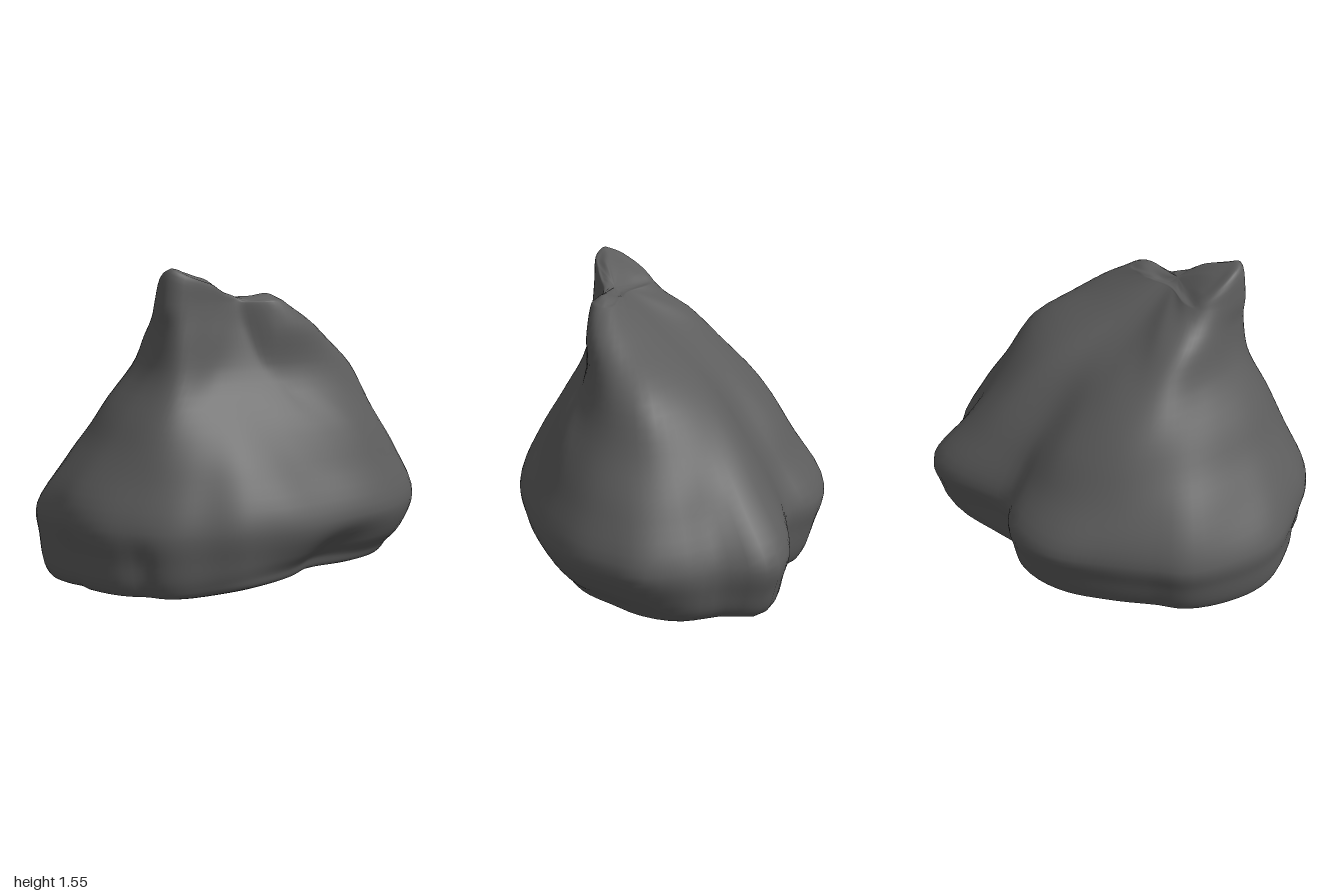
import * as THREE from 'three';
import { mergeVertices } from 'three/addons/utils/BufferGeometryUtils.js';

// Axis that runs inside every horizontal section, as (x, z)
const AXIS = { x: 0.19, z: 0.28 };
const COLS = 112, STEPS = 5;

// Outlines as (x, z) pairs, from the front round by +x
const WIDEST = [-0.15, 0.99, 0.04, 0.99, 0.2, 0.94, 0.36, 0.86, 0.48, 0.74, 0.6, 0.62, 0.68, 0.45, 0.74, 0.25,
  0.82, -0.1, 0.8, -0.38, 0.75, -0.57, 0.63, -0.74, 0.54, -0.84, 0.33, -0.91, 0.15, -0.9, -0.04, -0.99,
  -0.13, -0.95, -0.22, -0.86, -0.3, -0.72, -0.42, -0.53, -0.55, -0.5, -0.67, -0.4, -0.77, -0.23,
  -0.81, 0, -0.82, 0.27, -0.83, 0.42, -0.72, 0.65, -0.54, 0.85, -0.3, 0.95];
const MIDDLE = [0, 0.79, 0.22, 0.75, 0.4, 0.52, 0.52, 0.25, 0.6, 0, 0.64, -0.2, 0.58, -0.45, 0.39, -0.62,
  0.15, -0.65, -0.1, -0.58, -0.26, -0.34, -0.48, -0.2, -0.61, 0.1, -0.56, 0.38, -0.36, 0.61, -0.18, 0.74];
const UPPER = [0.05, 0.65, 0.2, 0.62, 0.28, 0.42, 0.36, 0.22, 0.46, 0.02, 0.51, -0.2, 0.47, -0.38, 0.36, -0.48,
  0.2, -0.46, 0, -0.35, -0.12, -0.18, -0.35, 0.03, -0.41, 0.25, -0.29, 0.44, -0.12, 0.58];
const SHOULDER = [0.08, 0.61, 0.19, 0.59, 0.25, 0.42, 0.29, 0.25, 0.39, 0.15, 0.45, 0.02, 0.45, -0.12,
  0.38, -0.18, 0.25, -0.14, 0.12, -0.05, 0, 0.11, -0.19, 0.22, -0.23, 0.33, -0.14, 0.47, 0, 0.57];
const BROW = [0.1, 0.62, 0.18, 0.59, 0.235, 0.42, 0.26, 0.27, 0.33, 0.19, 0.38, 0.13, 0.385, 0.05,
  0.33, 0.02, 0.22, 0.1, 0.13, 0.24, -0.03, 0.33, -0.08, 0.42, -0.03, 0.53];

// Smooth closed outline
function outline(pairs) {
  const pts = [];
  for (let i = 0; i < pairs.length; i += 2) pts.push(new THREE.Vector3(pairs[i], 0, pairs[i + 1]));
  return new THREE.CatmullRomCurve3(pts, true).getPoints(120);
}

// Distance from the axis to an outline in the direction (dx, dz)
function reach(line, dx, dz) {
  let best = 0;
  for (let i = 0; i + 1 < line.length; i++) {
    const ax = line[i].x - AXIS.x, az = line[i].z - AXIS.z;
    const ex = line[i + 1].x - line[i].x, ez = line[i + 1].z - line[i].z;
    const det = dx * ez - dz * ex;
    if (Math.abs(det) < 1e-9) continue;
    const t = (ax * ez - az * ex) / det, s = (ax * dz - az * dx) / det;
    if (s >= -1e-6 && s <= 1 + 1e-6) best = Math.max(best, t);
  }
  return best;
}

// Linear interpolation through [position, value] stops
function stops(list, v) {
  if (v <= list[0][0]) return list[0][1];
  for (let i = 1; i < list.length; i++) {
    const [a, fa] = list[i - 1], [b, fb] = list[i];
    if (v <= b) return fa + (fb - fa) * (v - a) / (b - a);
  }
  return list[list.length - 1][1];
}

const bump = (v, centre, width) => Math.exp(-(((v - centre) / width) ** 2));

// Height of the crest: two peaks with a saddle, falling away on both sides
function crest(x, z) {
  const top = stops([[0.02, 1.38], [0.08, 1.42], [0.15, 1.425], [0.23, 1.4], [0.33, 1.44], [0.4, 1.49], [0.48, 1.52], [0.56, 1.545]], z);
  const ridge = stops([[0.02, 0.35], [0.12, 0.32], [0.25, 0.24], [0.55, 0.13]], z);
  const d = x - ridge;
  return Math.max(1.385, top - (d < 0 ? -0.35 * d : 0.6 * d));
}

// Wavy underside
const underside = (x, z) => 0.055 - 0.05 * bump(x, -0.55, 0.3) + 0.04 * bump(x, 0.62, 0.17)
  - 0.03 * bump(z, -0.4, 0.2) * bump(x, 0.1, 0.5) + 0.01 * bump(z, 0, 0.25);

function rockGeometry() {
  const outlines = [WIDEST, MIDDLE, UPPER, SHOULDER, BROW].map(outline);
  const position = [], index = [];
  let rows = 0;
  for (let c = 0; c < COLS; c++) {
    const a = (c / COLS) * Math.PI * 2, dx = Math.sin(a), dz = Math.cos(a);
    const [rw, rm, ru, rs, rb] = outlines.map(l => reach(l, dx, dz));
    const at = (r, y) => {
      const x = AXIS.x + dx * r, z = AXIS.z + dz * r;
      return new THREE.Vector3(x, typeof y === 'function' ? y(x, z) : y, z);
    };
    // Hollows cut into the foot
    const wx = AXIS.x + dx * rw, wz = AXIS.z + dz * rw;
    const hollow = (wx > 0.3 ? 0.08 * bump(wz, 0, 0.2) : 0)
      + (wz > 0.6 ? 0.02 * bump(wx, -0.2, 0.06) + 0.02 * bump(wx, 0.23, 0.06) : 0);
    // The foot draws in on both sides, most of all towards the back at +x
    const taper = dx > 0 ? dx * (0.14 - 0.12 * dz) : -0.05 * dx * (1 - Math.max(0, dz));
    const foot = rw * (1 - taper) - hollow;
    const profile = [
      at(0, 0.05), at(rw * 0.5, underside), at(foot * 0.92, underside),
      at(foot * 0.97, (x, z) => underside(x, z) + 0.05),
      at(rw * (0.99 - taper * 0.45) - hollow, 0.22), at(rw, 0.37),
      at(rw * 0.46 + rm * 0.54 + 0.015, 0.6), at(rm, 0.8), at(ru, 1.05), at(rs, 1.25),
      at(rb, 1.38), at(rb * 0.9, crest), at(rb * 0.7, crest), at(rb * 0.4, crest), at(0, crest)];
    const pts = new THREE.CatmullRomCurve3(profile).getPoints((profile.length - 1) * STEPS);
    rows = pts.length;
    pts.forEach((p, i) => {
      // Gentle weathering that fades out at both poles
      const w = 0.005 * Math.sin(Math.PI * i / (rows - 1))
        * (Math.sin(9 * p.x + 5 * p.y) + Math.sin(11 * p.z - 7 * p.y + 1) + Math.sin(13 * p.y + 6 * p.x - 4 * p.z));
      position.push(p.x + dx * w, Math.max(0, p.y), p.z + dz * w);
    });
  }
  // Two triangles per cell, one beside each pole
  for (let c = 0; c < COLS; c++) {
    const n = (c + 1) % COLS;
    for (let r = 0; r + 1 < rows; r++) {
      const p = c * rows + r, q = n * rows + r;
      if (r > 0) index.push(p, q, q + 1);
      if (r < rows - 2) index.push(p, q + 1, p + 1);
    }
  }
  const g = new THREE.BufferGeometry();
  g.setAttribute('position', new THREE.Float32BufferAttribute(position, 3));
  g.setIndex(index);
  const welded = mergeVertices(g, 1e-4);
  welded.computeVertexNormals();
  return welded;
}

export function createModel() {
  const group = new THREE.Group();
  group.name = 'rock';
  const boulder = new THREE.Mesh(rockGeometry(), new THREE.MeshStandardMaterial({ color: 0x5c5c5c }));
  boulder.name = 'boulder';
  group.add(boulder);
  return group;
}
